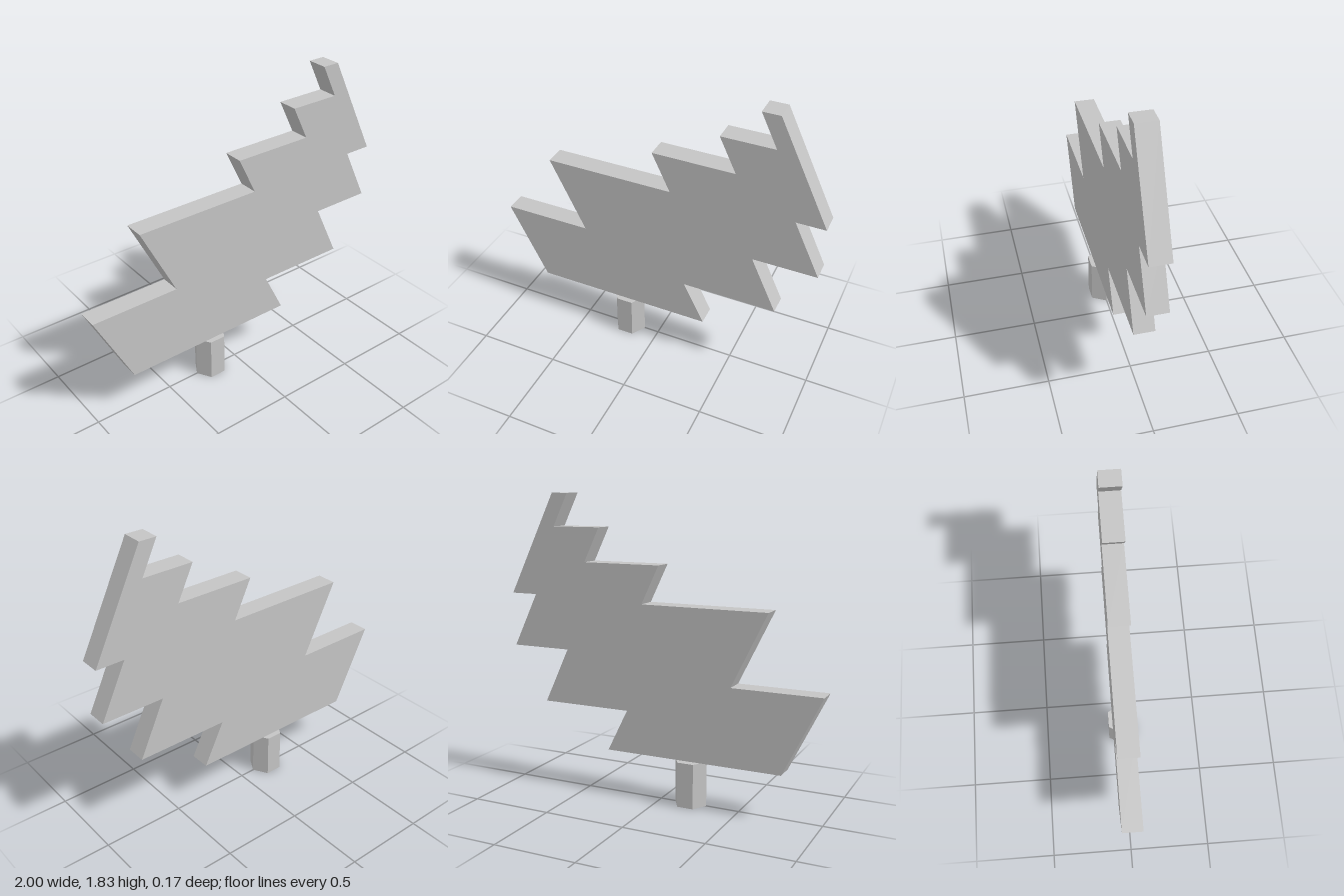
import * as THREE from 'three';

export function createModel() {
  const model = new THREE.Group();
  const grey = new THREE.MeshStandardMaterial({ color: 0xc4c4c4, flatShading: true, side: THREE.DoubleSide });
  grey.name = 'light grey';

  // Leaning stepped tree silhouette, counter-clockwise from the lower left
  const outline = [
    [-0.77, 0.28], [0.33, 0.28], [0.2, 0.54], [0.77, 0.54], [0.61, 0.88], [0.99, 0.88],
    [0.83, 1.21], [1, 1.21], [0.697, 1.825], [0.593, 1.825], [0.69, 1.627], [0.38, 1.627],
    [0.48, 1.42], [-0.01, 1.42], [0.1, 1.19], [-0.675, 1.19], [-0.46, 0.75], [-1, 0.75],
  ].map(([x, y]) => new THREE.Vector2(x, y));
  const depth = 0.124;
  const crownGeometry = new THREE.ExtrudeGeometry(new THREE.Shape(outline), { depth, bevelEnabled: false });
  crownGeometry.translate(0, 0, -depth / 2);
  const crown = new THREE.Mesh(crownGeometry, grey);
  crown.name = 'crown';
  model.add(crown);

  // Six-sided trunk, open at the bottom, with corners pointing left and right
  const height = 0.273, radius = 0.1;
  const trunk = new THREE.Group();
  trunk.name = 'trunk';
  trunk.position.x = -0.195;
  const wallGeometry = new THREE.CylinderGeometry(radius, radius, height, 6, 1, true);
  wallGeometry.rotateY(Math.PI / 2).translate(0, height / 2, 0);
  const wall = new THREE.Mesh(wallGeometry, grey);
  wall.name = 'trunkWall';
  const topGeometry = new THREE.CircleGeometry(radius, 6);
  topGeometry.rotateX(-Math.PI / 2).translate(0, height, 0);
  const top = new THREE.Mesh(topGeometry, grey);
  top.name = 'trunkTop';
  trunk.add(wall, top);
  model.add(trunk);

  return model;
}
